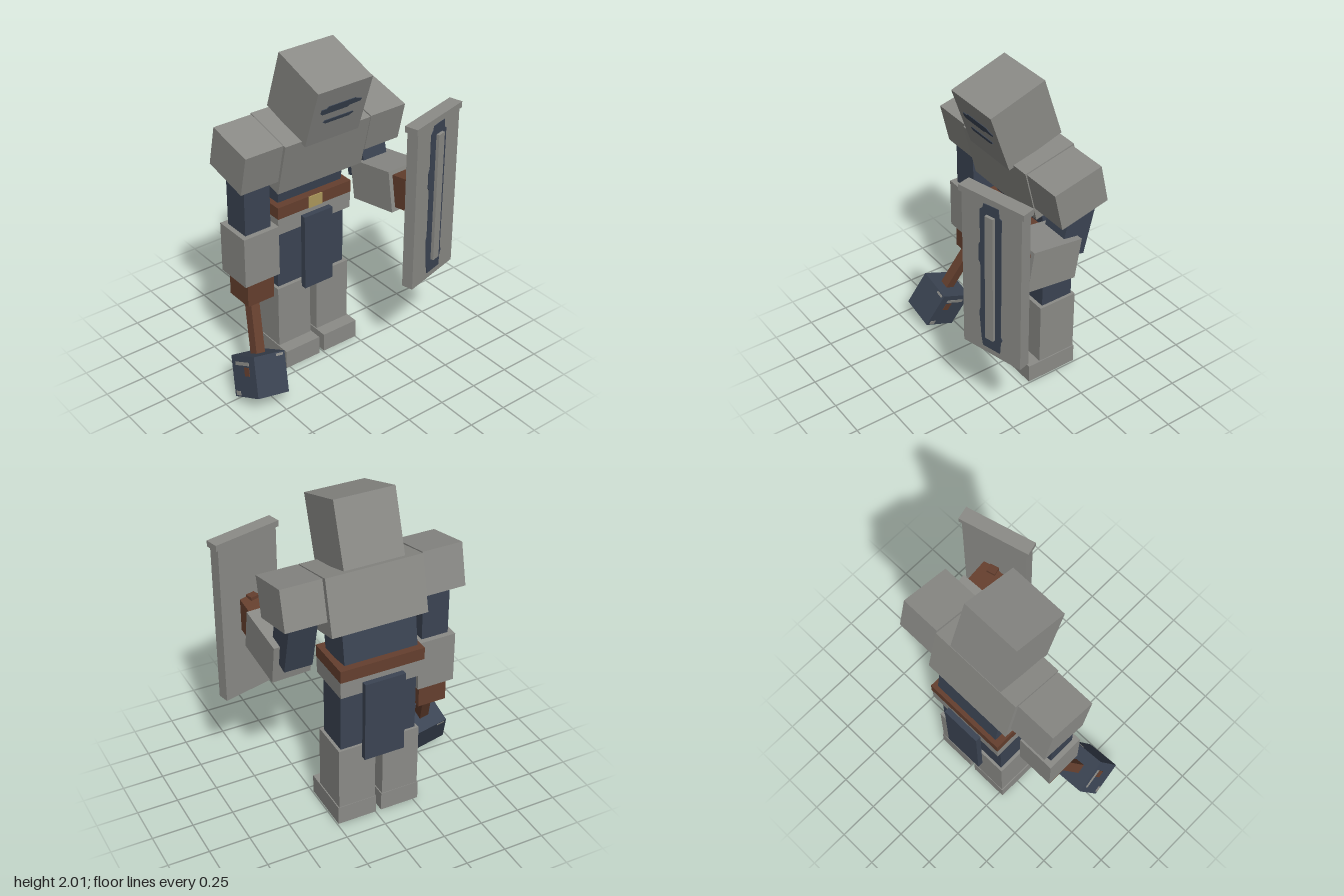
import * as THREE from 'three';

const mat = (name, color) => {
  const m = new THREE.MeshStandardMaterial({ color });
  m.name = name;
  return m;
};

export function createModel() {
  const steel = mat('steel', 0x8b8b87);
  const navy = mat('navy cloth', 0x3b4453);
  const leather = mat('brown leather', 0x653f2e);
  const gold = mat('gold', 0xad985c);

  const model = new THREE.Group();
  model.name = 'armouredFigure';
  const cx = -0.016; // middle of the body

  // Box from its size and centre, with an optional forward lean
  const box = (name, material, [w, h, d], [x, y, z], lean = 0, parent = model) => {
    const mesh = new THREE.Mesh(new THREE.BoxGeometry(w, h, d), material);
    mesh.name = name;
    mesh.position.set(x, y, z);
    mesh.rotation.x = lean;
    parent.add(mesh);
    return mesh;
  };
  const group = (name, x, y, z) => {
    const g = new THREE.Group();
    g.name = name;
    g.position.set(x, y, z);
    model.add(g);
    return g;
  };

  // Thin painted patch with slightly worn edges, facing +z
  const patch = (name, material, points, z, parent) => {
    const shape = new THREE.Shape(points.map(([x, y]) => new THREE.Vector2(x, y)));
    const geo = new THREE.ExtrudeGeometry(shape, { depth: 0.005, bevelEnabled: false });
    const mesh = new THREE.Mesh(geo, material);
    mesh.name = name;
    mesh.position.z = z;
    parent.add(mesh);
    return mesh;
  };

  // Legs
  for (const [side, s] of [['left', 1], ['right', -1]]) {
    const x = cx + s * 0.14;
    box(side + 'Foot', steel, [0.245, 0.12, 0.334], [x, 0.06, -0.217]);
    box(side + 'Greave', steel, [0.232, 0.41, 0.25], [x, 0.32, -0.256]);
    box(side + 'Thigh', navy, [0.205, 0.42, 0.21], [cx + s * 0.135, 0.72, -0.26]);
  }

  // Hips, belt and hanging cloths
  box('hips', steel, [0.515, 0.105, 0.295], [cx, 0.9625, -0.26]);
  box('belt', leather, [0.52, 0.075, 0.302], [cx, 1.0525, -0.26]);
  box('buckle', gold, [0.095, 0.073, 0.008], [cx, 1.0525, -0.106]);
  box('frontCloth', navy, [0.2, 0.487, 0.036], [cx, 0.742, -0.092]);
  box('backCloth', navy, [0.25, 0.515, 0.034], [cx, 0.724, -0.427]);

  // Leaning trunk
  box('abdomen', navy, [0.45, 0.22, 0.23], [cx, 1.2, -0.26], 0.14);
  box('chest', steel, [0.585, 0.338, 0.33], [cx, 1.42, -0.179], 0.236);

  // Helmet with worn visor slits
  const head = group('head', cx, 1.761, -0.066);
  head.rotation.x = 0.32;
  box('helmet', steel, [0.366, 0.382, 0.366], [0, 0, 0], 0, head);
  patch('eyeSlit', navy, [
    [-0.12, 0.023], [0.05, 0.023], [0.065, 0.033], [0.135, 0.036], [0.142, 0.052], [0.105, 0.064],
    [0.095, 0.072], [-0.085, 0.072], [-0.095, 0.06], [-0.13, 0.06], [-0.133, 0.035],
  ], 0.182, head);
  patch('mouthSlit', navy, [
    [-0.08, -0.05], [0.075, -0.05], [0.105, -0.036], [0.1, -0.027], [-0.09, -0.027], [-0.1, -0.04],
  ], 0.182, head);

  // Shoulders
  box('leftPauldron', steel, [0.247, 0.244, 0.312], [0.408, 1.464, -0.162], 0.23);
  box('rightPauldron', steel, [0.247, 0.254, 0.305], [-0.438, 1.464, -0.166], 0.225);

  // Lowered right arm
  box('rightUpperArm', navy, [0.17, 0.42, 0.17], [-0.44, 1.21, -0.157]);
  box('rightForearm', steel, [0.235, 0.316, 0.235], [-0.438, 0.863, -0.158]);
  box('rightHand', leather, [0.18, 0.16, 0.18], [-0.44, 0.632, -0.15]);

  // Raised left arm
  box('leftUpperArm', navy, [0.17, 0.39, 0.17], [0.405, 1.26, -0.187], -0.24);
  const forearm = group('leftLowerArm', 0.414, 1.093, 0.01);
  forearm.rotation.set(-0.16, 0.04, 0);
  box('leftForearm', steel, [0.238, 0.25, 0.333], [0, 0, 0], 0, forearm);
  box('leftHand', leather, [0.185, 0.2, 0.16], [0, 0, 0.235], 0, forearm);

  // Shield on the left hand
  const shield = group('shield', 0.459, 1.12, 0.342);
  shield.rotation.y = 0.255;
  box('shieldPlate', steel, [0.402, 1.015, 0.07], [0, -0.012, 0], 0, shield);
  box('shieldRim', steel, [0.434, 0.037, 0.082], [0, 0.502, 0], 0, shield);
  patch('shieldStripe', navy, [
    [-0.06, -0.48], [0.06, -0.48], [0.066, -0.4], [0.078, -0.38], [0.066, -0.36], [0.07, 0.42],
    [0.055, 0.43], [0.05, 0.48], [-0.05, 0.475], [-0.055, 0.45], [-0.076, 0.43], [-0.074, 0.22],
    [-0.086, 0.2], [-0.086, 0.1], [-0.074, 0.08], [-0.074, -0.22], [-0.084, -0.25], [-0.07, -0.42],
  ], 0.034, shield);
  box('shieldRidge', steel, [0.055, 0.815, 0.025], [0, 0.008, 0.045], 0, shield);
  box('shieldGrip', leather, [0.055, 0.25, 0.05], [0, 0.01, -0.058], 0, shield);

  // Hammer, hanging forward and outward from the right hand
  const hammer = group('hammer', -0.553, 0.17, 0.07);
  const up = new THREE.Vector3(0.2, 0.877, -0.438).normalize();
  const front = new THREE.Vector3(1, 0, 0).cross(up).normalize();
  const across = new THREE.Vector3(up.y, -up.x, 0).normalize();
  front.crossVectors(across, up);
  hammer.quaternion.setFromRotationMatrix(new THREE.Matrix4().makeBasis(across, up, front));
  box('hammerHead', navy, [0.218, 0.24, 0.222], [0, 0, 0], 0, hammer);
  box('hammerHandle', leather, [0.06, 0.4, 0.06], [0, 0.3, 0], 0, hammer);
  // Wear marks on the hammer sides
  for (const s of [1, -1]) {
    box('wornEdge', steel, [0.004, 0.02, 0.13], [s * 0.11, 0.075, -0.01], 0, hammer);
    box('wornCorner', steel, [0.004, 0.025, 0.04], [s * 0.11, -0.1, 0.075 * s], 0, hammer);
    box('rustSpot', leather, [0.004, 0.05, 0.045], [s * 0.11, 0.03, 0.03], 0, hammer);
    box('wornCap', steel, [0.05, 0.015, 0.004], [s * 0.07, 0.105, s * 0.111], 0, hammer);
  }
  return model;
}
